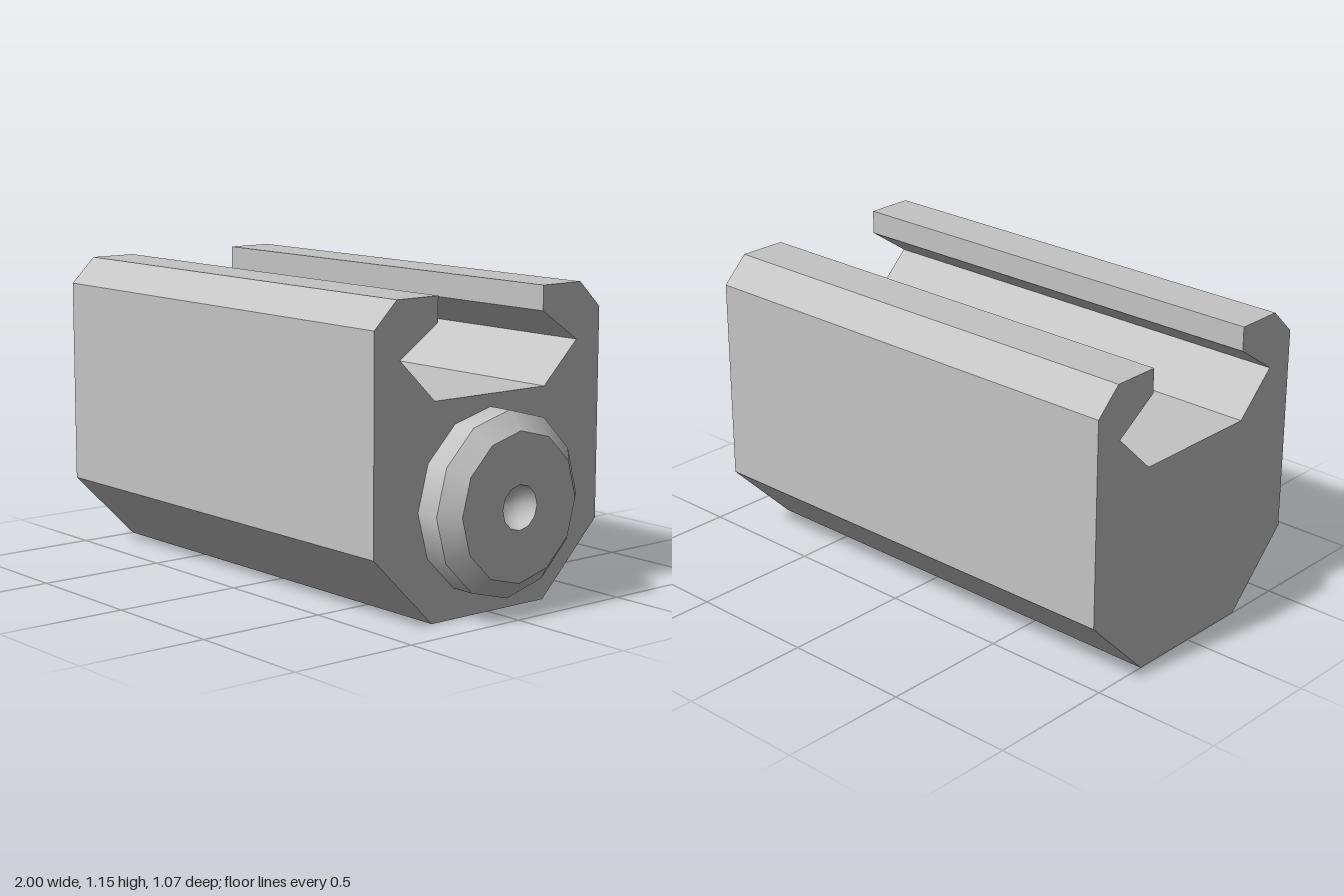
import * as THREE from 'three';

export function createModel() {
  const group = new THREE.Group();
  const grey = new THREE.MeshStandardMaterial({ color: 0xc4c4c4 });
  grey.name = 'light grey';

  // Slotted body: half section, mirrored, extruded along x
  const half = [
    [0.27, 0], [0.537, 0.267], [0.537, 1.053], [0.437, 1.15],
    [0.251, 1.15], [0.251, 1.058], [0.422, 0.942], [0.262, 0.787],
  ];
  const mirrored = half.map(([z, y]) => [-z, y]).reverse();
  const section = new THREE.Shape([...half, ...mirrored].map(([z, y]) => new THREE.Vector2(z, y)));
  const bodyGeometry = new THREE.ExtrudeGeometry(section, { depth: 1.845, bevelEnabled: false });
  bodyGeometry.rotateY(Math.PI / 2).translate(-1, 0, 0);
  const body = new THREE.Mesh(bodyGeometry, grey);
  body.name = 'slottedBody';
  group.add(body);

  // Twelve-sided end boss, one lathe per band so its edges stay sharp
  const boss = new THREE.Group();
  boss.name = 'endBoss';
  const dimple = [];
  for (let i = 0; i <= 5; i++) {
    const a = (i / 5) * Math.PI / 2;
    dimple.push([i === 5 ? 0 : 0.082 * Math.cos(a), 1 - 0.082 * Math.sin(a)]);
  }
  const bands = {
    bossRim: [[0.337, 0.845], [0.337, 0.94]],
    bossChamfer: [[0.337, 0.94], [0.272, 1]],
    bossFace: [[0.272, 1], [0.082, 1]],
    centreDimple: dimple,
  };
  for (const [name, profile] of Object.entries(bands)) {
    const geometry = new THREE.LatheGeometry(profile.map(([r, x]) => new THREE.Vector2(r, x)), 12);
    geometry.rotateZ(-Math.PI / 2).translate(0, 0.404, 0);
    const band = new THREE.Mesh(geometry, grey);
    band.name = name;
    boss.add(band);
  }
  group.add(boss);

  return group;
}
